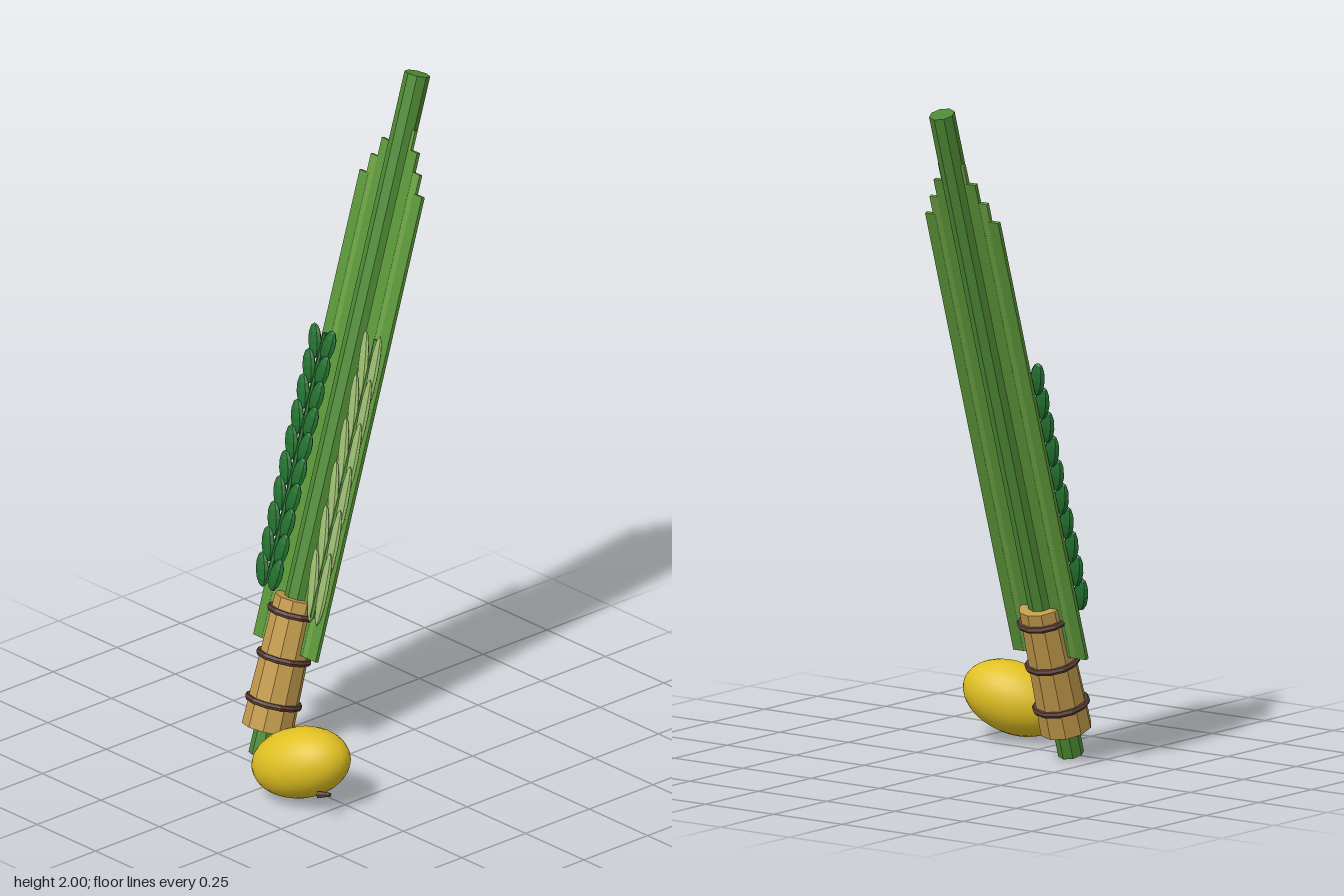
import * as THREE from 'three';

const mat = (name, color, flat = true) => {
  const m = new THREE.MeshStandardMaterial({ color, flatShading: flat });
  m.name = name;
  return m;
};

export function createModel() {
  const stemGreen = mat('stem green', 0x4f8a35);
  const bladeGreen = mat('blade green', 0x5a9438);
  const lightGreen = mat('light blade green', 0x6ba044);
  const darkLeaf = mat('dark leaf green', 0x22702f);
  const paleLeaf = mat('pale leaf green', 0x9cbd70);
  const straw = mat('woven straw', 0xc29a4c);
  const brown = mat('dark brown', 0x5a3d35);
  const yellow = mat('fruit yellow', 0xe0c022, false);

  const model = new THREE.Group();
  const add = (parent, name, geo, material, x = 0, y = 0, z = 0) => {
    const mesh = new THREE.Mesh(geo, material);
    mesh.name = name;
    mesh.position.set(x, y, z);
    parent.add(mesh);
    return mesh;
  };

  // Leaning bundle, built upright along its own y axis
  const bundle = new THREE.Group();
  bundle.name = 'bundle';
  bundle.position.set(-0.152, 0.011, 0.21);
  bundle.rotation.x = -0.3;
  model.add(bundle);

  // Central stem
  const stemLength = 2.07;
  add(bundle, 'centralStem', new THREE.CylinderGeometry(0.038, 0.038, stemLength, 8), stemGreen, 0, stemLength / 2);

  // Overlapping flat blades, shorter towards the outside
  for (const side of [-1, 1]) {
    for (let k = 1; k <= 4; k++) {
      const length = 1.413 + (4 - k) * 0.058;
      const depth = k % 2 ? 0.011 : 0.012;
      add(bundle, 'blade', new THREE.BoxGeometry(0.037, length, depth),
        k % 2 ? lightGreen : bladeGreen, side * k * 0.0287, 0.323 + length / 2, 0);
    }
  }

  // Straw holder with three binding rings
  add(bundle, 'holder', new THREE.CylinderGeometry(0.067, 0.077, 0.396, 10), straw, 0, 0.28);
  for (const [y, r] of [[0.162, 0.077], [0.298, 0.074], [0.434, 0.072]]) {
    const ring = add(bundle, 'bindingRing', new THREE.TorusGeometry(r, 0.0095, 6, 12), brown, 0, y);
    ring.rotation.x = Math.PI / 2;
  }

  // Leafy branch: a twig with mirrored rows of flattened oval leaves
  const branch = (name, o) => {
    const group = new THREE.Group();
    group.name = name;
    group.position.set(o.x, 0, 0.024);
    bundle.add(group);
    const height = o.top - o.bottom;
    add(group, name + 'Twig', new THREE.CylinderGeometry(0.007, 0.008, height * 0.95, 6), o.twig, 0, (o.top + o.bottom) / 2);
    const leaf = new THREE.SphereGeometry(1, 8, 6).scale(...o.size);
    const first = o.bottom + o.size[1];
    const step = (height - 2 * o.size[1]) / (o.rows - 1);
    for (let i = 0; i < o.rows; i++) {
      for (const side of [-1, 1]) {
        const mesh = add(group, name + 'Leaf', leaf, o.material, side * o.spread, first + i * step, 0.004);
        mesh.rotation.set(0.12, 0, -side * o.tilt);
      }
    }
  };
  branch('ovalLeafBranch', {
    x: -0.105, bottom: 0.468, top: 1.268, rows: 10, size: [0.026, 0.052, 0.013],
    spread: 0.029, tilt: 0.22, material: darkLeaf, twig: darkLeaf,
  });
  branch('longLeafBranch', {
    x: 0.099, bottom: 0.425, top: 1.315, rows: 6, size: [0.019, 0.115, 0.01],
    spread: 0.022, tilt: 0.07, material: paleLeaf, twig: stemGreen,
  });

  // Oval fruit with its stub, long axis along +y before turning
  const fruit = new THREE.Group();
  fruit.name = 'fruit';
  fruit.position.set(0.145, 0.123, 0.326);
  model.add(fruit);
  const axis = new THREE.Vector3(0.897, 0.317, -0.306).normalize();
  const body = add(fruit, 'fruitBody', new THREE.SphereGeometry(1, 24, 16).scale(0.105, 0.158, 0.105), yellow);
  body.quaternion.setFromUnitVectors(new THREE.Vector3(0, 1, 0), axis);
  const stub = add(fruit, 'fruitStub', new THREE.CylinderGeometry(0.006, 0.012, 0.04, 6), brown, 0.146, -0.041, 0.043);
  stub.quaternion.setFromUnitVectors(new THREE.Vector3(0, 1, 0), new THREE.Vector3(0.92, 0.2, -0.33).normalize());

  return model;
}
